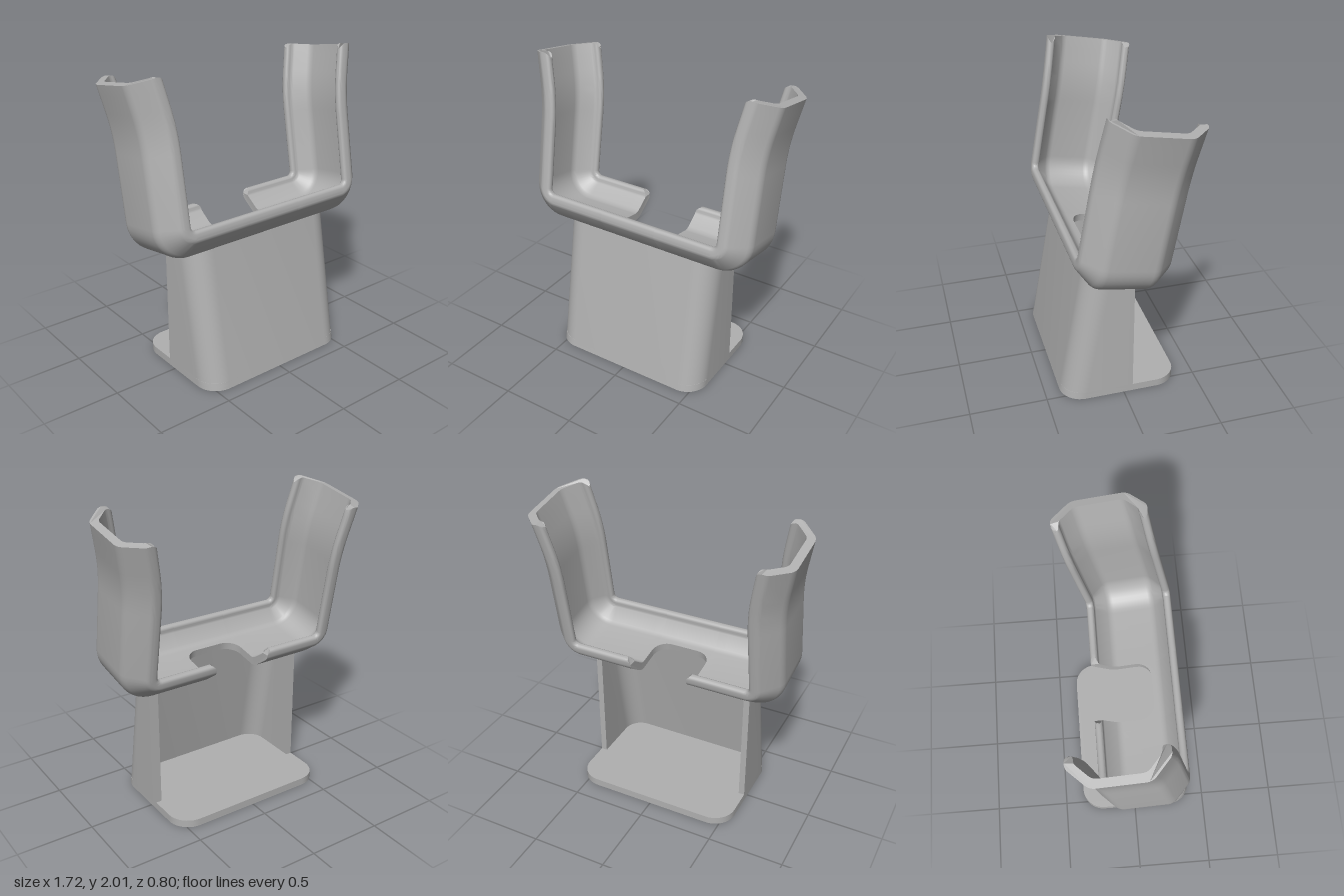
import * as THREE from 'three';
import { toCreasedNormals } from 'three/addons/utils/BufferGeometryUtils.js';

const TILT = 0.1745, COS = Math.cos(TILT), SIN = Math.sin(TILT);
const LEAN = Math.tan(TILT);
const FLOOR = 0.858;   // cradle underside, measured along the tilted up axis
const THICK = 0.05, DEPTH = 0.185;
const NOTCH = 0.195;   // half width of the rear cut-out

// Polygon with rounded corners: [x, y, tangent length]
function roundedShape(corners) {
  const s = new THREE.Shape();
  const n = corners.length;
  corners.forEach(([x, y, r], i) => {
    const toward = ([px, py], d) => {
      const len = Math.hypot(px - x, py - y);
      return [x + (px - x) * d / len, y + (py - y) * d / len];
    };
    const prev = corners[(i + n - 1) % n], next = corners[(i + 1) % n];
    const a = toward(prev, r), b = toward(next, r);
    if (i === 0) s.moveTo(...a); else s.lineTo(...a);
    if (r > 0) s.bezierCurveTo(...toward(prev, r * 0.45), ...toward(next, r * 0.45), ...b);
  });
  s.closePath();
  return s;
}

function roundedRect(x, zBack, zFront, r) {
  return roundedShape([[-x, -zFront, r], [x, -zFront, r], [x, -zBack, r], [-x, -zBack, r]]);
}

// Plan shape raised from y0 to y1
function raise(shape, y0, y1) {
  const g = new THREE.ExtrudeGeometry(shape, { depth: y1 - y0, bevelEnabled: false, curveSegments: 10 });
  g.rotateX(-Math.PI / 2);
  return g.translate(0, y0, 0);
}

function moveVertices(g, rule) {
  const p = g.attributes.position, v = new THREE.Vector3();
  for (let i = 0; i < p.count; i++) {
    rule(v.fromBufferAttribute(p, i));
    p.setXYZ(i, v.x, v.y, v.z);
  }
  return g;
}
const leanFront = v => { if (v.z > 0.1) v.z -= LEAN * v.y; };

// Cradle cross-section as (w across, d depth inward), counterclockwise
function cradleProfile() {
  const pts = roundedShape([
    [-0.06, DEPTH, 0.022], [-0.06, 0.15, 0], [-0.06, 0.12, 0.018], [0.06, 0, 0.03],
    [0.394, 0, 0.03], [0.51, 0.12, 0.018], [0.51, 0.15, 0], [0.51, DEPTH, 0.022],
    [0.46, DEPTH, 0.022], [0.46, 0.141, 0.015], [0.373, THICK, 0.025],
    [0.081, THICK, 0.025], [-0.01, 0.141, 0.015], [-0.01, DEPTH, 0.022],
  ]).getPoints(4);
  return pts.filter((p, i) => p.distanceTo(pts[(i + 1) % pts.length]) > 1e-5);
}

// Cradle coordinates to model coordinates
const place = (x, u, w) => new THREE.Vector3(x, u * COS + w * SIN, w * COS - u * SIN);

// Skin between successive closed rows of points, with optional end caps
function skin(rows, profile, capped) {
  const pos = [], idx = [], n = profile.length;
  rows.forEach(r => r.forEach(v => pos.push(v.x, v.y, v.z)));
  for (let i = 0; i < rows.length - 1; i++) {
    for (let j = 0; j < n; j++) {
      const a = i * n + j, b = i * n + (j + 1) % n;
      idx.push(a, a + n, b + n, a, b + n, b);
    }
  }
  if (capped) {
    const last = (rows.length - 1) * n;
    for (const [a, b, c] of THREE.ShapeUtils.triangulateShape(profile, [])) {
      idx.push(a, b, c, last + a, last + c, last + b);
    }
  }
  const g = new THREE.BufferGeometry();
  g.setAttribute('position', new THREE.Float32BufferAttribute(pos, 3));
  g.setIndex(idx);
  return g;
}

// Rows of one arm: along the floor, round the corner, up, and flaring out
function armRows(profile) {
  const R = 0.215, cx = 0.585, bend = 0.2, bendR = 1.25;
  const path = [[NOTCH, FLOOR, 0], [0.26, FLOOR, 0]];   // x, u, direction angle
  for (let i = 0; i <= 10; i++) {
    const a = i / 10 * Math.PI / 2;
    path.push([cx + R * Math.sin(a), FLOOR + R - R * Math.cos(a), a]);
  }
  for (let i = 0; i <= 6; i++) {
    const b = i / 6 * bend;
    path.push([cx + R + bendR * (1 - Math.cos(b)), 1.5 + bendR * Math.sin(b), Math.PI / 2 - b]);
  }
  const [ex, eu, ea] = path[path.length - 1];
  for (const s of [0.11, 0.178]) path.push([ex + Math.cos(ea) * s, eu + Math.sin(ea) * s, ea]);

  // rounded lip corners at the ends
  const r = 0.045;
  const drop = d => {
    const k = Math.max(0, d - (DEPTH - r));
    return r - Math.sqrt(Math.max(0, r * r - k * k));
  };
  return path.map(([x, u, a], i) => profile.map(({ x: w, y: d }) => {
    let shift = 0;
    if (i === 0 && w < 0.2) shift = drop(d);
    if (i === path.length - 1) shift = -drop(d);
    return place(x + Math.cos(a) * shift - Math.sin(a) * d, u + Math.sin(a) * shift + Math.cos(a) * d, w);
  }));
}

// Rows of the middle, trimmed by the round-cornered cut-out
function middleRows(profile) {
  const half = [];
  for (let i = 0; i <= 8; i++) {
    const a = i / 8 * Math.PI / 2;
    half.push([NOTCH - 0.1 + 0.1 * Math.sin(a), 0.22 + 0.1 * Math.cos(a)]);
  }
  const cuts = [...half.map(([x, w]) => [-x, w]).reverse(), ...half];
  return cuts.map(([x, cut]) => profile.map(({ x: w, y: d }) =>
    w < cut ? place(x, FLOOR + Math.min(d, THICK), cut) : place(x, FLOOR + d, w)));
}

export function createModel() {
  const model = new THREE.Group();
  model.name = 'phoneStand';
  const grey = new THREE.MeshStandardMaterial({ color: 0xb0b0b0 });
  grey.name = 'grey plastic';

  const add = (name, geometry, crease = 0.6) => {
    const mesh = new THREE.Mesh(toCreasedNormals(geometry, crease), grey);
    mesh.name = name;
    model.add(mesh);
  };

  // Foot plate with a grooved underside
  const foot = (x, zb, zf, r) => roundedRect(x, zb, zf, r);
  const rim = foot(0.56, -0.37, 0.4, 0.145);
  rim.holes.push(foot(0.505, -0.315, 0.345, 0.095));
  add('footRim', moveVertices(raise(rim, 0, 0.02), leanFront));
  add('footPlate', moveVertices(raise(foot(0.56, -0.37, 0.4, 0.145), 0.02, 0.05), leanFront));
  add('footPad', raise(foot(0.493, -0.303, 0.333, 0.085), 0.002, 0.021));

  // Hollow support, open at the back, leaning front, top cut to the cradle floor
  const wall = roundedShape([
    [-0.56, 0.06, 0], [-0.56, -0.4, 0.15], [0.56, -0.4, 0.15], [0.56, 0.06, 0],
    [0.52, 0.06, 0], [0.52, -0.36, 0.12], [-0.52, -0.36, 0.12], [-0.52, 0.06, 0],
  ]);
  add('support', moveVertices(raise(wall, 0, 1), v => {
    const k = v.z > 0.1 ? LEAN : 0;
    v.y *= (0.886 + LEAN * v.z) / (1 + LEAN * k);
    v.z -= k * v.y;
  }));

  // Cradle: two mirrored arms and the notched middle
  const profile = cradleProfile();
  const left = armRows(profile);
  const right = left.map(row => row.map(v => new THREE.Vector3(-v.x, v.y, v.z))).reverse();
  add('leftArm', skin(left, profile, true));
  add('rightArm', skin(right, profile, true));
  add('cradleMiddle', skin(middleRows(profile), profile, false));

  return model;
}
